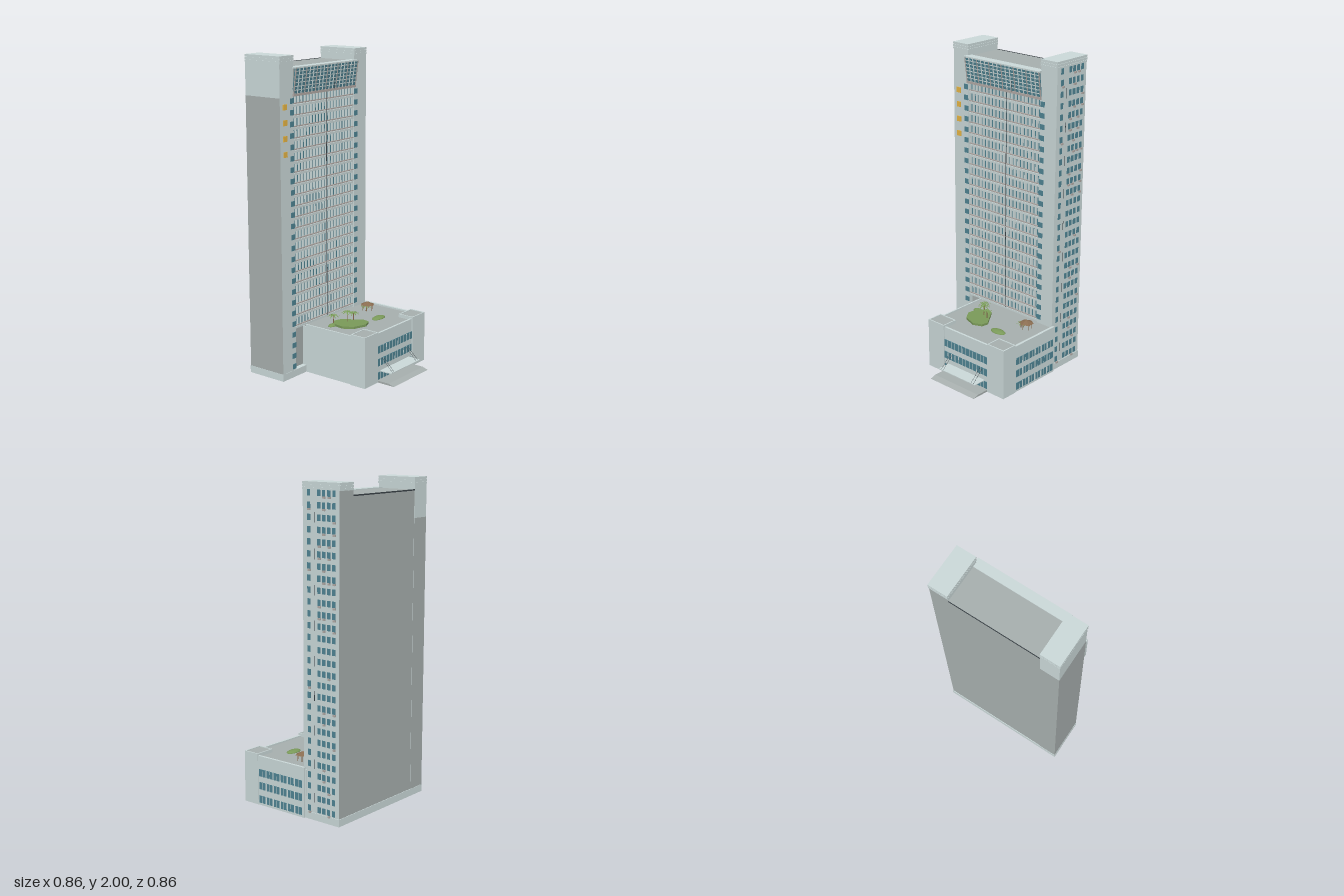
import * as THREE from 'three';
import { mergeGeometries } from 'three/addons/utils/BufferGeometryUtils.js';

const material = (name, color, side = THREE.FrontSide) => {
  const m = new THREE.MeshStandardMaterial({ color, side });
  m.name = name;
  return m;
};

// Box geometry from its limits: [x0, x1, y0, y1, z0, z1]
const span = ([x0, x1, y0, y1, z0, z1]) =>
  new THREE.BoxGeometry(x1 - x0, y1 - y0, z1 - z0)
    .translate((x0 + x1) / 2, (y0 + y1) / 2, (z0 + z1) / 2);

export function createModel() {
  const model = new THREE.Group();
  model.name = 'towerBuilding';
  const wall = material('paleWall', 0xcbd9d9);
  const gray = material('grayConcrete', 0xa7afae);
  const glass = material('blueGlass', 0x4f8493);
  const rail = material('warmGrayRail', 0xb0a9a5);
  const dark = material('darkMetal', 0x3b4348);
  const gold = material('goldOrnament', 0xe6b545);
  const grass = material('grassGreen', 0x7a9a59);
  const leaf = material('palmLeaf', 0x789c57, THREE.DoubleSide);
  const wood = material('brownWood', 0x8a6d50);

  const add = (name, geometry, mat, parent = model) => {
    const mesh = new THREE.Mesh(geometry, mat);
    mesh.name = name;
    parent.add(mesh);
    return mesh;
  };
  const box = (name, mat, ...limits) => add(name, span(limits), mat);
  const boxes = (name, mat, list) => add(name, mergeGeometries(list.map(span)), mat);
  const floors = (count, first) => Array.from({ length: count }, (_, i) => first + i * 0.0692);

  // Tower body: gray core, back and outer side, pale piers
  box('towerPlinth', wall, -0.43, 0.412, 0, 0.045, -0.432, -0.158);
  box('towerCore', gray, -0.306, 0.286, 0.045, 1.925, -0.428, -0.19);
  box('leftEdgePier', [wall, gray, wall, gray, wall, gray], -0.428, -0.305, 0.045, 1.755, -0.43, -0.16);
  box('upperPier', wall, -0.428, -0.305, 1.755, 1.955, -0.43, -0.16);
  box('sidePier', [wall, wall, wall, gray, wall, gray], 0.285, 0.408, 0.045, 1.955, -0.428, -0.16);
  for (const [x0, x1] of [[-0.43, -0.303], [0.283, 0.41]]) {
    boxes('pierCap', wall, [0, 1, 2].map(i =>
      [x0, x1, 1.955 + i * 0.016, 1.968 + i * 0.016, -0.432, -0.157]));
    box('pierCapCore', wall, x0 + 0.004, x1 - 0.004, 1.95, 1.995, -0.428, -0.161);
  }
  box('roofEdge', dark, -0.305, 0.285, 1.92, 1.928, -0.43, -0.427);

  // Main curtain wall with deep fins and floor bands
  const L = -0.304, R = 0.284;
  box('facadeGlass', glass, L, R, 0.32, 1.77, -0.19, -0.182);
  const levels = floors(22, 0.317);
  boxes('floorBands', wall, levels.map(y => [L, R, y - 0.008, y + 0.005, -0.186, -0.166]));
  boxes('balconyRails', rail, levels.map(y => [L, R, y + 0.008, y + 0.015, -0.172, -0.165]));
  const fins = [], posts = [];
  for (let i = 0; i <= 20; i++) {
    const x = L + 0.003 + i * (R - L - 0.006) / 20;
    fins.push([x - 0.0028, x + 0.0028, 0.32, 1.765, -0.186, -0.168]);
    if (i < 20) posts.push([x + 0.0135, x + 0.0155, 0.32, 1.765, -0.184, -0.178]);
  }
  boxes('facadeFins', wall, fins);
  boxes('facadePosts', wall, posts);
  boxes('centreCables', dark, [[0.009, 0.011, 0.32, 1.93, -0.166, -0.163], [0.066, 0.068, 1.77, 1.93, -0.15, -0.147]]);

  // Single windows on the front piers
  const pierWindows = [];
  for (const y of floors(25, 0.07)) {
    for (const x of [-0.322, 0.301])
      pierWindows.push([x - 0.016, x + 0.016, y - 0.016, y + 0.016, -0.162, -0.157]);
  }
  boxes('pierWindows', glass, pierWindows);

  // Leaning glass crown
  const crown = new THREE.Group();
  crown.name = 'glassCrown';
  model.add(crown);
  const lean = g => {
    const p = g.attributes.position;
    for (let i = 0; i < p.count; i++)
      p.setZ(i, p.getZ(i) + (p.getY(i) - 1.77) / 0.16 * 0.022);
    g.computeVertexNormals();
    return g;
  };
  const crownBars = [], crownPosts = [];
  for (let i = 0; i <= 18; i++) {
    const x = -0.308 + i * 0.597 / 18;
    (i % 3 ? crownBars : crownPosts).push([x - 0.0025, x + 0.0025, 1.77, 1.925, -0.158, -0.152]);
  }
  for (let i = 1; i < 7; i++) {
    const y = 1.77 + i * 0.0225;
    crownBars.push([-0.31, 0.291, y - 0.0025, y + 0.0025, -0.158, -0.153]);
  }
  add('crownGlass', lean(span([-0.31, 0.291, 1.77, 1.925, -0.165, -0.156])), glass, crown);
  add('crownBars', lean(mergeGeometries(crownBars.map(span))), wall, crown);
  add('crownPosts', lean(mergeGeometries(crownPosts.map(span))), rail, crown);
  add('crownRoof', span([-0.314, 0.292, 1.922, 1.931, -0.19, -0.131]), wall, crown);
  add('crownSill', span([-0.312, 0.291, 1.757, 1.772, -0.19, -0.15]), rail, crown);

  // Plain gold ornaments
  for (const y of [1.7, 1.607, 1.512, 1.417])
    box('goldOrnament', gold, -0.402, -0.368, y - 0.017, y + 0.017, -0.161, -0.155);

  // Side windows, scattered air conditioners and a broken run of drain pipe
  let seed = 7;
  const random = () => (seed = (seed * 16807) % 2147483647) / 2147483647;
  const sideWindows = [], units = [], pipes = [];
  floors(28, 0.07).forEach((y, i) => {
    for (const z of [-0.205, -0.28, -0.315, -0.352, -0.39]) {
      sideWindows.push([0.405, 0.411, y - 0.018, y + 0.018, z - 0.011, z + 0.011]);
      if (random() < 0.25)
        units.push([0.407, 0.418, y - 0.03, y - 0.018, z - 0.014, z + 0.003]);
    }
    if (i % 3 === 1) pipes.push([0.407, 0.41, y - 0.03, y + 0.03, -0.246, -0.2435]);
  });
  boxes('sideWindows', glass, sideWindows);
  boxes('airConditioners', rail, units);
  boxes('drainPipe', dark, pipes);

  // Podium: body, parapets and corner blocks
  box('podiumBody', wall, -0.208, 0.412, 0, 0.3, -0.185, 0.301);
  box('podiumRoof', gray, -0.2, 0.408, 0.3, 0.304, -0.185, 0.288);
  boxes('podiumParapet', wall, [
    [-0.208, -0.199, 0.3, 0.314, -0.16, 0.296], [0.406, 0.422, 0, 0.314, -0.172, 0.21],
    [-0.1, 0.3, 0.3, 0.314, 0.287, 0.301]]);
  for (const x of [-0.215, 0.29]) {
    box('cornerBlock', wall, x, x + 0.135, 0, 0.318, 0.2, 0.309);
    box('cornerRoof', gray, x + 0.007, x + 0.128, 0.318, 0.321, 0.207, 0.302);
    boxes('cornerRim', wall, [
      [x, x + 0.007, 0.318, 0.326, 0.2, 0.309], [x + 0.128, x + 0.135, 0.318, 0.326, 0.2, 0.309],
      [x, x + 0.135, 0.318, 0.326, 0.2, 0.207], [x, x + 0.135, 0.318, 0.326, 0.302, 0.309]]);
  }

  // Podium window strips with mullions
  const mullions = [];
  for (const y of [0.038, 0.125, 0.208]) {
    box('frontStripWindow', glass, -0.08, 0.29, y - 0.024, y + 0.023, 0.298, 0.304);
    box('sideStripWindow', glass, 0.42, 0.4245, y - 0.023, y + 0.023, -0.157, 0.19);
    for (let i = 1; i < 12; i++) {
      const x = -0.08 + i * 0.37 / 12;
      mullions.push([x - 0.0015, x + 0.0015, y - 0.024, y + 0.023, 0.3, 0.306]);
      const z = -0.157 + i * 0.347 / 12, w = i % 2 ? 0.0015 : 0.005;
      mullions.push([0.421, 0.4255, y - 0.023, y + 0.023, z - w, z + w]);
    }
  }
  boxes('stripMullions', wall, mullions);

  // Entrance ramp, canopy and tie rods
  const ramp = new THREE.Shape([[0.29, 0], [0.43, 0], [0.39, 0.012], [0.29, 0.012]]
    .map(([z, y]) => new THREE.Vector2(-z, y)));
  add('entranceRamp', new THREE.ExtrudeGeometry(ramp, { depth: 0.37, bevelEnabled: false })
    .rotateY(Math.PI / 2).translate(-0.08, 0, 0), gray);
  box('canopy', wall, -0.05, 0.262, 0.063, 0.068, 0.3, 0.388);
  for (const x of [-0.03, -0.014, 0.226, 0.245]) {
    const path = new THREE.LineCurve3(new THREE.Vector3(x, 0.068, 0.383), new THREE.Vector3(x, 0.145, 0.302));
    add('canopyRod', new THREE.TubeGeometry(path, 1, 0.0009, 5), dark);
  }

  // Roof garden lawns
  const lawn = new THREE.Shape([[-0.1, -0.02], [-0.11, 0.055], [-0.07, 0.115], [0.015, 0.145], [0.072, 0.122],
    [0.08, 0.075], [0.03, 0], [0, -0.045], [-0.05, -0.06]].map(([x, z]) => new THREE.Vector2(x, -z)));
  add('lawn', new THREE.ExtrudeGeometry(lawn, { depth: 0.014, bevelEnabled: false })
    .rotateX(-Math.PI / 2).translate(0, 0.304, 0), grass);
  for (const [x, z, rx, rz] of [[-0.1, -0.03, 0.037, 0.023], [0.197, 0.107, 0.056, 0.031]]) {
    add('shrubBed', new THREE.SphereGeometry(1, 24, 8, 0, Math.PI * 2, 0, Math.PI / 2)
      .scale(rx, 0.014, rz).translate(x, 0.304, z), grass);
  }

  // Palms: a trunk with drooping diamond fronds
  const frond = new THREE.BufferGeometry();
  frond.setAttribute('position', new THREE.Float32BufferAttribute([
    0, 0, 0, 0.018, 0.004, 0.006, 0.018, 0.006, 0, 0, 0, 0, 0.018, 0.006, 0, 0.018, 0.004, -0.006,
    0.018, 0.004, 0.006, 0.044, -0.009, 0, 0.018, 0.006, 0, 0.018, 0.006, 0, 0.044, -0.009, 0, 0.018, 0.004, -0.006], 3));
  frond.computeVertexNormals();
  for (const [x, z, top] of [[-0.067, -0.052, 0.358], [-0.01, 0.014, 0.38], [0.032, 0.032, 0.366], [0.268, -0.045, 0.336]]) {
    const palm = new THREE.Group();
    palm.name = 'palm';
    palm.position.set(x, 0.304, z);
    model.add(palm);
    const h = top - 0.304;
    add('trunk', new THREE.CylinderGeometry(0.002, 0.0032, h, 6).translate(0, h / 2, 0), wood, palm);
    for (let i = 0; i < 8; i++) {
      const f = add('frond', frond, leaf, palm);
      f.position.y = h;
      f.rotation.y = i * Math.PI / 4 + x * 9;
    }
  }

  // Garden hut
  add('hutRoof', new THREE.ConeGeometry(0.047, 0.022, 6).toNonIndexed().translate(0.291, 0.351, -0.052), wood)
    .geometry.computeVertexNormals();
  for (let i = 0; i < 6; i++) {
    const a = i * Math.PI / 3;
    add('hutPost', new THREE.CylinderGeometry(0.002, 0.002, 0.038, 6)
      .translate(0.291 + 0.034 * Math.sin(a), 0.322, -0.052 + 0.034 * Math.cos(a)), wood);
  }
  return model;
}
